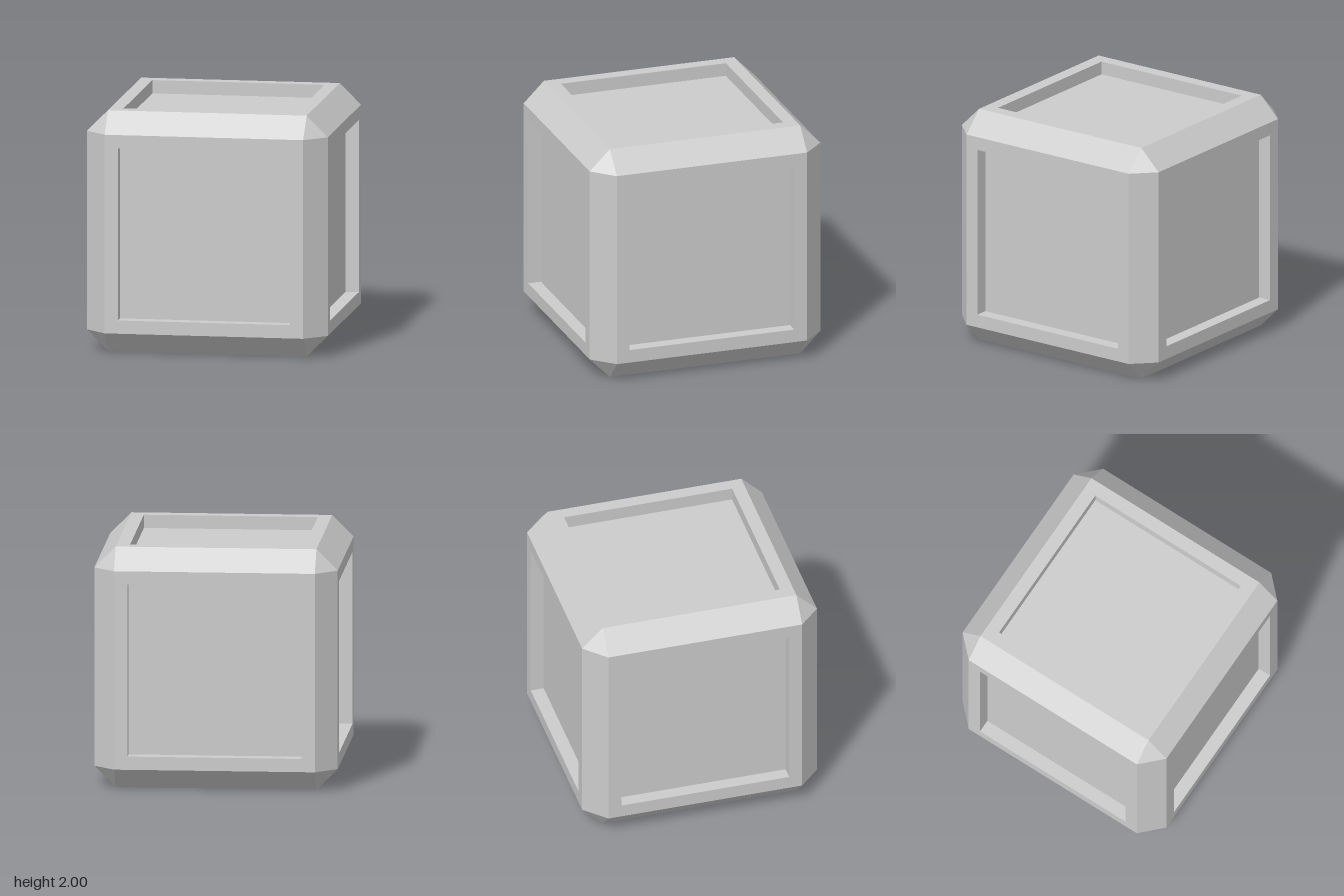
import * as THREE from 'three';

const H = 0.825;      // half width of a flat side, inside the chamfers
const R = 0.715;      // half width of the recess
const DEPTH = 0.11;   // recess depth
const material = new THREE.MeshStandardMaterial({ color: 0xcccccc, flatShading: true });

// Flat-shaded geometry from triangles given as lists of [x, y, z]
function fromTriangles(points) {
  const geometry = new THREE.BufferGeometry();
  geometry.setAttribute('position', new THREE.Float32BufferAttribute(points.flat(), 3));
  geometry.computeVertexNormals();
  return geometry;
}

// One side facing +z: rim, recess walls and recess floor from nested squares
function sideGeometry() {
  const square = (h, z) => [[-h, -h, z], [h, -h, z], [h, h, z], [-h, h, z]];
  const rings = [square(H, 1), square(R, 1), square(R, 1 - DEPTH)];
  const points = [];
  const quad = (a, b, c, d) => points.push(a, b, c, a, c, d);
  for (let r = 0; r < rings.length - 1; r++) {
    for (let i = 0; i < 4; i++) {
      const j = (i + 1) % 4;
      quad(rings[r][i], rings[r][j], rings[r + 1][j], rings[r + 1][i]);
    }
  }
  quad(...rings[2]);
  return fromTriangles(points);
}

export function createModel() {
  const model = new THREE.Group();
  model.name = 'chamferedCube';
  const add = (name, geometry) => {
    const mesh = new THREE.Mesh(geometry, material);
    mesh.name = name;
    mesh.position.y = 1;
    model.add(mesh);
  };

  // Six recessed sides
  const side = sideGeometry();
  ['front', 'left', 'back', 'right'].forEach((name, i) =>
    add(name + 'Panel', side.clone().rotateY(i * Math.PI / 2)));
  add('topPanel', side.clone().rotateX(-Math.PI / 2));
  add('bottomPanel', side.clone().rotateX(Math.PI / 2));

  // Twelve chamfered edges: four along each axis
  const middle = (1 + H) / 2;
  const tilts = { upright: [0, 0], depth: [Math.PI / 2, 0], cross: [0, Math.PI / 2] };
  for (const [name, [tiltX, tiltZ]] of Object.entries(tilts)) {
    for (let i = 0; i < 4; i++) {
      add(name + 'Chamfer' + (i + 1), new THREE.PlaneGeometry((1 - H) * Math.SQRT2, 2 * H)
        .rotateY(Math.PI / 4).translate(middle, 0, middle)
        .rotateY(i * Math.PI / 2).rotateX(tiltX).rotateZ(tiltZ));
    }
  }

  // Eight triangular corners
  const corner = fromTriangles([[1, H, H], [H, 1, H], [H, H, 1]]);
  for (let i = 0; i < 4; i++) {
    add('topCorner' + (i + 1), corner.clone().rotateY(i * Math.PI / 2));
    add('bottomCorner' + (i + 1), corner.clone().rotateX(Math.PI).rotateY(i * Math.PI / 2));
  }
  return model;
}
